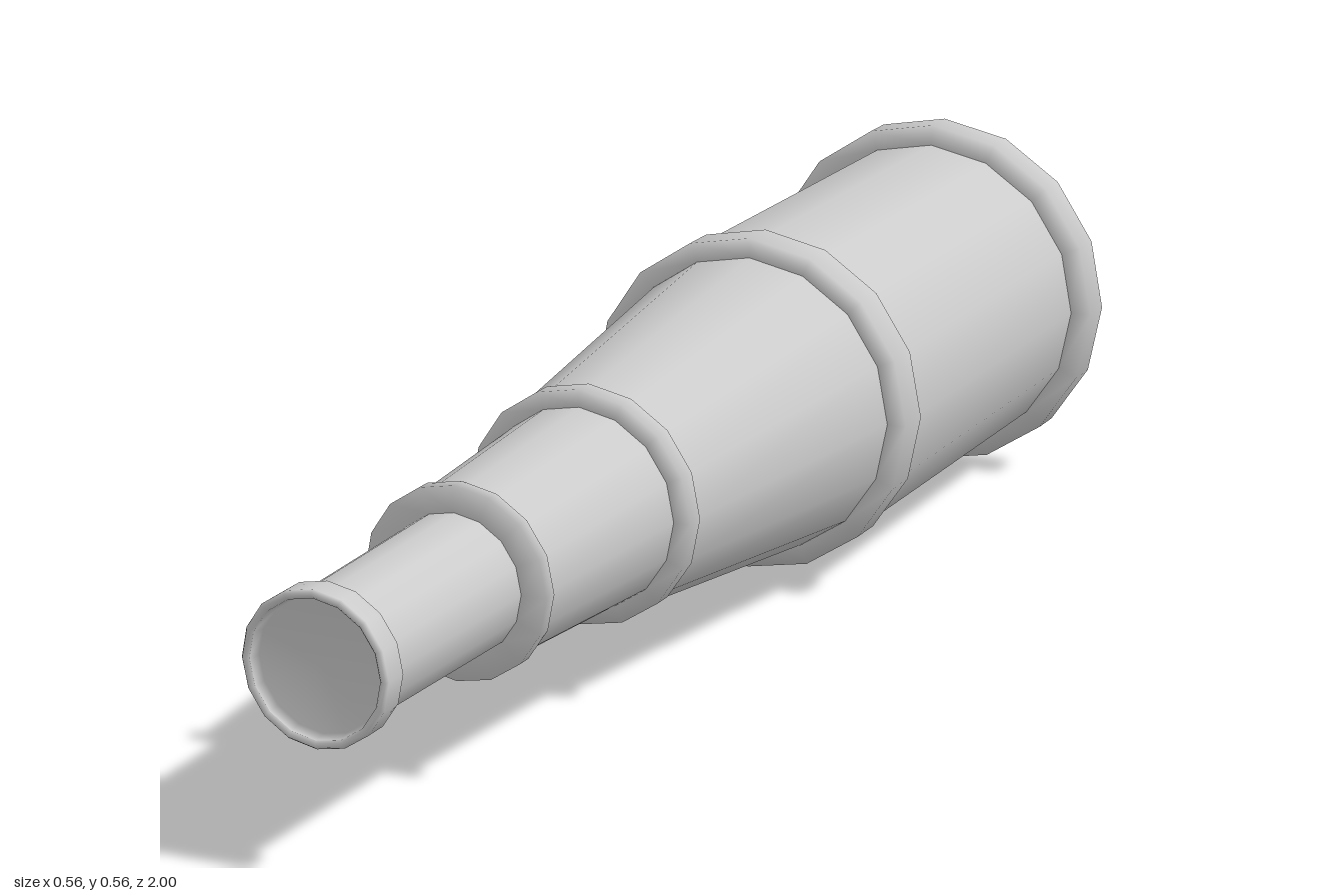
import * as THREE from 'three';

const SIDES = 16;
const AXIS_Y = 0.28;

export function createModel() {
  const model = new THREE.Group();
  model.name = 'spyglass';
  const material = new THREE.MeshStandardMaterial({ color: 0xcccccc, side: THREE.DoubleSide });

  // Turns a [radius, z] profile, listed from back to front, around the long axis
  function turned(name, profile) {
    const points = profile.map(([r, z]) => new THREE.Vector2(r, z));
    const geometry = new THREE.LatheGeometry(points, SIDES);
    geometry.rotateX(Math.PI / 2);
    const mesh = new THREE.Mesh(geometry, material);
    mesh.name = name;
    mesh.position.y = AXIS_Y;
    model.add(mesh);
  }

  // Large end: recessed lens, rim, then the straight barrel
  turned('objectiveLens', [[0, -0.965], [0.24, -0.965], [0.252, -0.997]]);
  turned('objectiveRim', [
    [0.252, -0.997], [0.258, -1], [0.276, -1], [0.28, -0.995], [0.28, -0.945], [0.248, -0.942],
  ]);
  turned('mainBarrel', [[0.248, -0.945], [0.248, -0.32]]);

  // Collars, each stepping down to the next draw tube
  const collars = [
    ['barrelCollar', 0.257, -0.325, -0.27, 0.248, 0.227],
    ['middleCollar', 0.173, 0.245, 0.275, 0.165, 0.147],
    ['smallCollar', 0.138, 0.61, 0.632, 0.127, 0.1],
  ];
  for (const [name, r, back, front, rBack, rFront] of collars) {
    turned(name, [[rBack, back], [r, back], [r, front], [rFront, front]]);
  }

  // Tapered draw tubes
  turned('largeDrawTube', [[0.227, -0.272], [0.165, 0.247]]);
  turned('middleDrawTube', [[0.147, 0.273], [0.127, 0.612]]);
  turned('smallDrawTube', [[0.1, 0.63], [0.094, 0.96]]);

  // Small end: rim and recessed eyepiece lens
  turned('eyepieceRim', [
    [0.094, 0.957], [0.108, 0.96], [0.108, 0.996], [0.105, 1], [0.099, 1], [0.096, 0.997],
  ]);
  turned('eyepieceLens', [[0.096, 0.997], [0.092, 0.98], [0, 0.98]]);

  return model;
}
